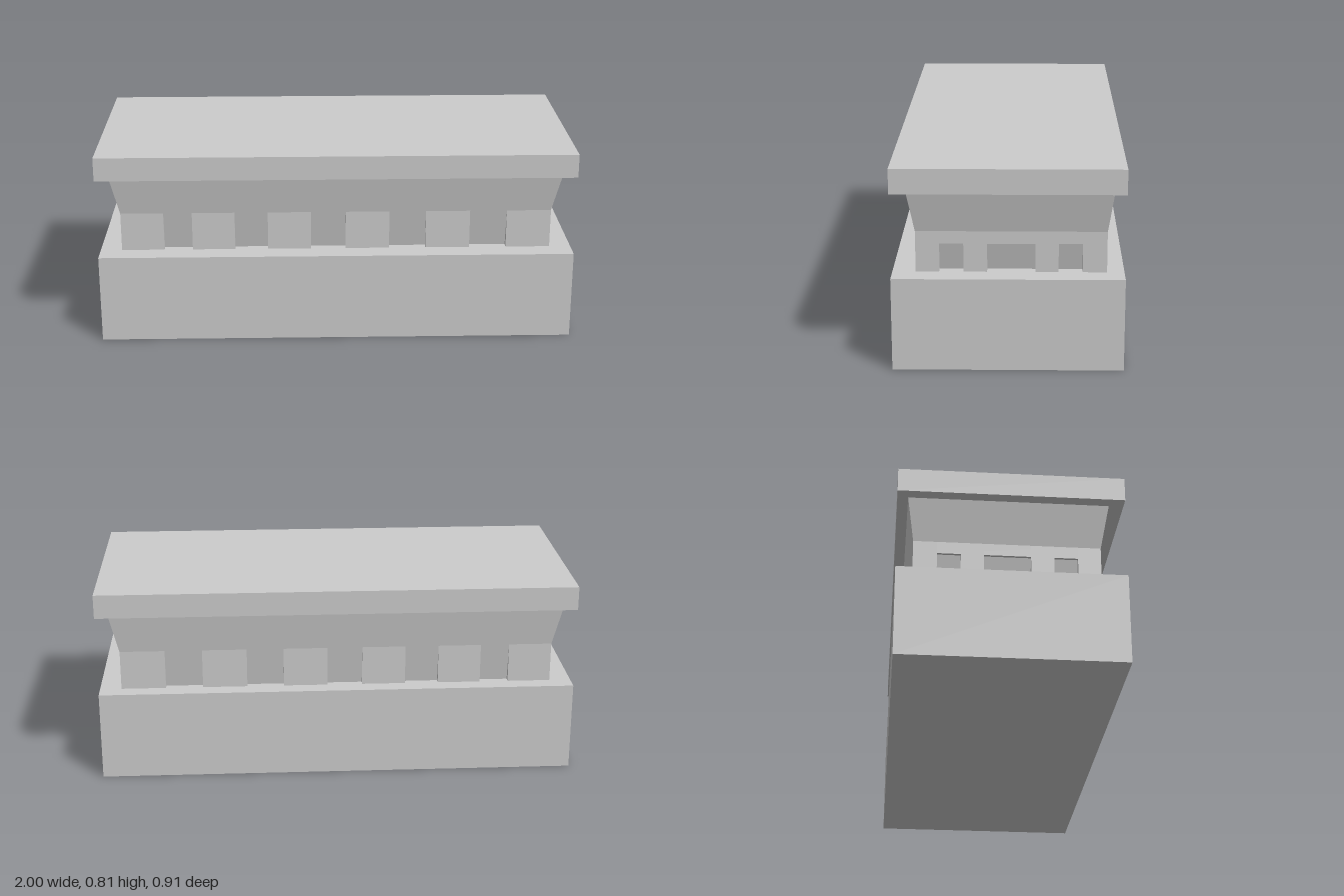
import * as THREE from 'three';

export function createModel() {
  const group = new THREE.Group();
  const material = new THREE.MeshStandardMaterial({ color: 0xcccccc, flatShading: true });

  const add = (name, geometry) => {
    const mesh = new THREE.Mesh(geometry, material);
    mesh.name = name;
    group.add(mesh);
  };
  // Box given by its extents on each axis
  const block = (name, [x0, x1], [y0, y1], [z0, z1]) => {
    const g = new THREE.BoxGeometry(x1 - x0, y1 - y0, z1 - z0);
    g.translate((x0 + x1) / 2, (y0 + y1) / 2, (z0 + z1) / 2);
    add(name, g);
  };

  const FLOOR = 0.375, SPRING = 0.542, EAVE = 0.715;
  const FRONT = 0.362, BACK = -0.385, SIDE = 0.91;

  // Base and roof slabs
  block('base', [-1, 1], [0, FLOOR], [-0.453, 0.453]);
  block('roofSlab', [-1, 1], [EAVE, 0.815], [-0.453, 0.453]);

  // Core whose four walls all lean outward toward the roof
  const core = new THREE.BoxGeometry(2, 2, 2);
  const p = core.attributes.position;
  for (let i = 0; i < p.count; i++) {
    const top = p.getY(i) > 0;
    const x = Math.sign(p.getX(i)) * (top ? 0.95 : 0.872);
    const z = p.getZ(i) > 0 ? (top ? 0.394 : 0.332) : (top ? -0.41 : -0.361);
    p.setXYZ(i, x, top ? EAVE : FLOOR, z);
  }
  core.computeVertexNormals();
  add('flaredCore', core);

  // Upright posts showing on both the front and the back
  for (const x of [[-0.61, -0.43], [-0.29, -0.107], [0.04, 0.225], [0.38, 0.567]])
    block('post', x, [FLOOR, SPRING], [BACK, FRONT]);

  // Corner posts
  for (const x of [[-SIDE, -0.73], [0.723, SIDE]])
    for (const z of [[0.27, FRONT], [BACK, -0.29]])
      block('cornerPost', x, [FLOOR, SPRING], z);

  // End walls: piers between the openings and a lintel over them
  for (const z of [[0.175, 0.083], [-0.105, -0.196]])
    block('endPier', [-SIDE, SIDE], [FLOOR, SPRING], [z[1], z[0]]);
  block('endLintel', [-SIDE, SIDE], [0.49, SPRING], [-0.29, 0.27]);

  return group;
}
